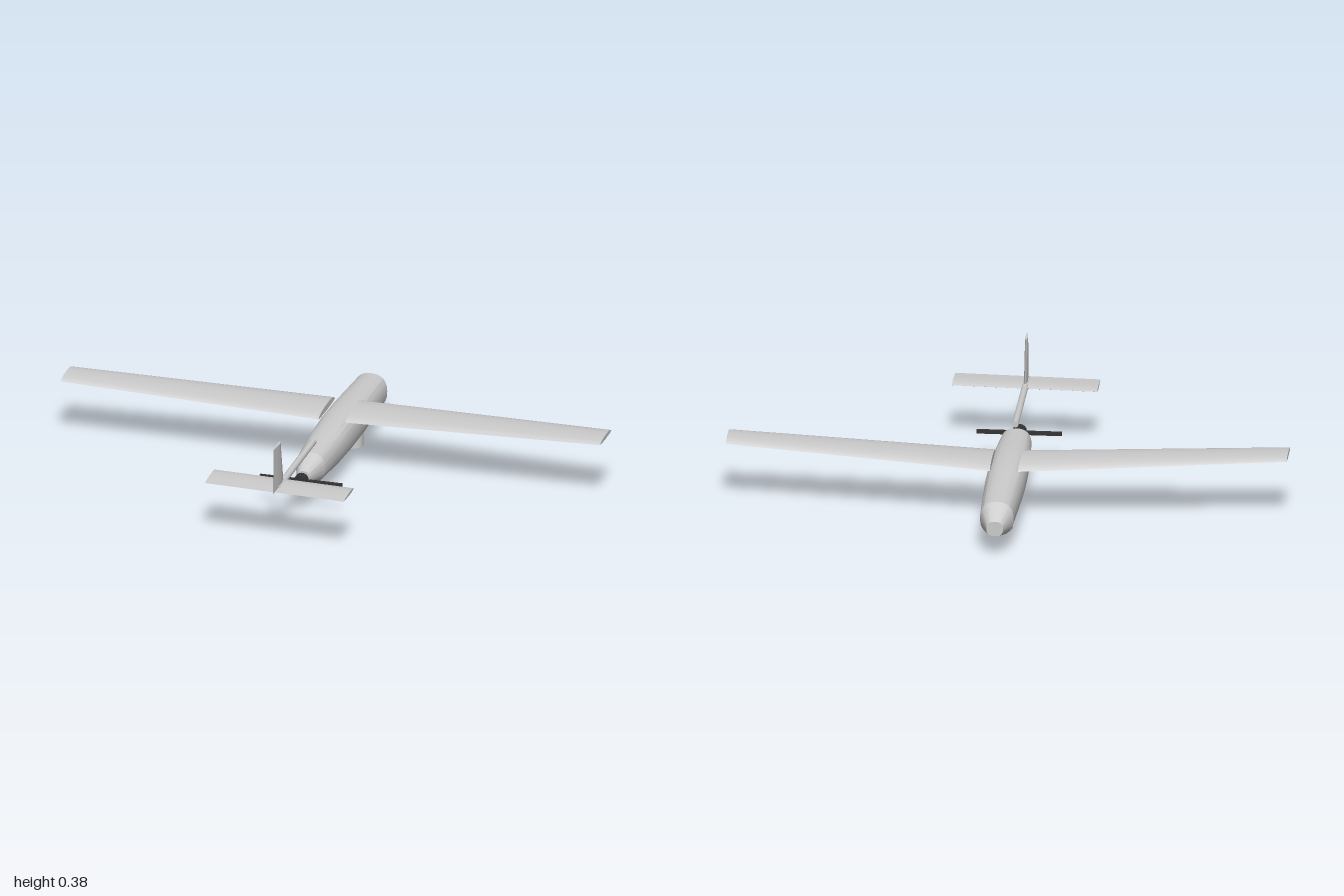
import * as THREE from 'three';
import { toCreasedNormals } from 'three/addons/utils/BufferGeometryUtils.js';

const grey = new THREE.MeshStandardMaterial({ color: 0xcccccc });
const dark = new THREE.MeshStandardMaterial({ color: 0x333333 });

// Skins a list of equal-length rings and closes both ends
function loft(rings, crease = 0.5) {
  const n = rings[0].length;
  const index = [];
  rings.forEach((_, k) => {
    if (k === rings.length - 1) return;
    for (let i = 0; i < n; i++) {
      const a = k * n + i, b = k * n + (i + 1) % n;
      index.push(a, b, b + n, a, b + n, a + n);
    }
  });
  const end = (rings.length - 1) * n;
  for (let i = 1; i < n - 1; i++) {
    index.push(0, i + 1, i, end, end + i, end + i + 1);
  }
  const geo = new THREE.BufferGeometry();
  geo.setAttribute('position', new THREE.Float32BufferAttribute(rings.flat(2), 3));
  geo.setIndex(index);
  return toCreasedNormals(geo, crease);
}

// Profiles as [chord fraction, thickness fraction]
const wingProfile = [
  [0, 0], [0.04, 0.4], [0.15, 0.8], [0.35, 1], [0.6, 1], [0.85, 0.75], [0.96, 0.45], [1, 0.1],
  [0.85, -0.1], [0.5, -0.2], [0.15, -0.15],
];
const tailProfile = [
  [0, 0], [0.06, 0.25], [0.3, 0.5], [0.65, 0.35], [1, 0],
  [0.65, -0.35], [0.3, -0.5], [0.06, -0.25],
];
const spanRing = (profile, x, y, z0, z1, t) =>
  profile.map(([c, h]) => [x, y + h * t, z0 + (z1 - z0) * c]);
const finRing = (y, z0, z1, t) =>
  tailProfile.map(([c, h]) => [-h * t, y, z0 + (z1 - z0) * c]);

// Rounded fuselage section between a bottom and a top height
function bodyRing([z, halfWidth, bottom, top]) {
  const ring = [], sides = 24, p = 2 / 2.4;
  const bend = v => Math.sign(v) * Math.abs(v) ** p;
  for (let i = 0; i < sides; i++) {
    const a = (i / sides) * Math.PI * 2;
    ring.push([
      halfWidth * bend(Math.cos(a)),
      (bottom + top) / 2 + (top - bottom) / 2 * bend(Math.sin(a)),
      z,
    ]);
  }
  return ring;
}

export function createModel() {
  const model = new THREE.Group();
  const add = (name, geo, material = grey, parent = model) => {
    const mesh = new THREE.Mesh(geo, material);
    mesh.name = name;
    parent.add(mesh);
    return mesh;
  };

  // Fuselage: [z, half width, bottom, top]
  add('fuselage', loft([
    [-0.645, 0.03, 0.081, 0.136],
    [-0.567, 0.06, 0.056, 0.183],
    [-0.28, 0.07, 0.053, 0.198],
    [-0.15, 0.07, 0.053, 0.202],
    [0.0, 0.067, 0.06, 0.194],
    [0.18, 0.055, 0.071, 0.184],
    [0.272, 0.024, 0.098, 0.148],
  ].map(bodyRing), 0.3));

  // Wings, with a gap over the fuselage
  for (const side of [1, -1]) {
    const rings = [
      spanRing(wingProfile, side * 0.05, 0.194, -0.287, -0.083, 0.02),
      spanRing(wingProfile, side, 0.233, -0.202, -0.064, 0.013),
    ];
    if (side < 0) rings.reverse();
    add(side > 0 ? 'leftWing' : 'rightWing', loft(rings));
  }

  // Tail
  const boom = add('tailBoom', new THREE.CylinderGeometry(0.012, 0.012, 0.45, 12));
  boom.rotation.x = Math.PI / 2;
  boom.position.set(0, 0.212, 0.37);
  add('tailplane', loft([
    spanRing(tailProfile, -0.26, 0.214, 0.495, 0.622, 0.012),
    spanRing(tailProfile, 0.26, 0.214, 0.515, 0.642, 0.012),
  ]));
  add('fin', loft([
    finRing(0.212, 0.52, 0.645, 0.014),
    finRing(0.38, 0.555, 0.638, 0.01),
  ]));

  // Pusher propeller
  const propeller = new THREE.Group();
  propeller.name = 'propeller';
  propeller.position.set(0, 0.123, 0.304);
  model.add(propeller);
  const hub = add('propellerHub', new THREE.CylinderGeometry(0.025, 0.025, 0.036, 16), dark, propeller);
  hub.rotation.x = Math.PI / 2;
  for (const side of [1, -1]) {
    const blade = add('propellerBlade', new THREE.BoxGeometry(0.14, 0.012, 0.015), dark, propeller);
    blade.position.set(side * 0.082, 0, -0.003);
  }

  // Camera turret under the nose
  const turret = add('cameraTurret', new THREE.CylinderGeometry(0.038, 0.038, 0.07, 20));
  turret.position.set(0, 0.035, -0.342);
  const lens = add('cameraLens', new THREE.CylinderGeometry(0.011, 0.011, 0.02, 12), dark);
  lens.rotation.x = Math.PI / 2;
  lens.position.set(0, 0.028, -0.379);

  return model;
}
